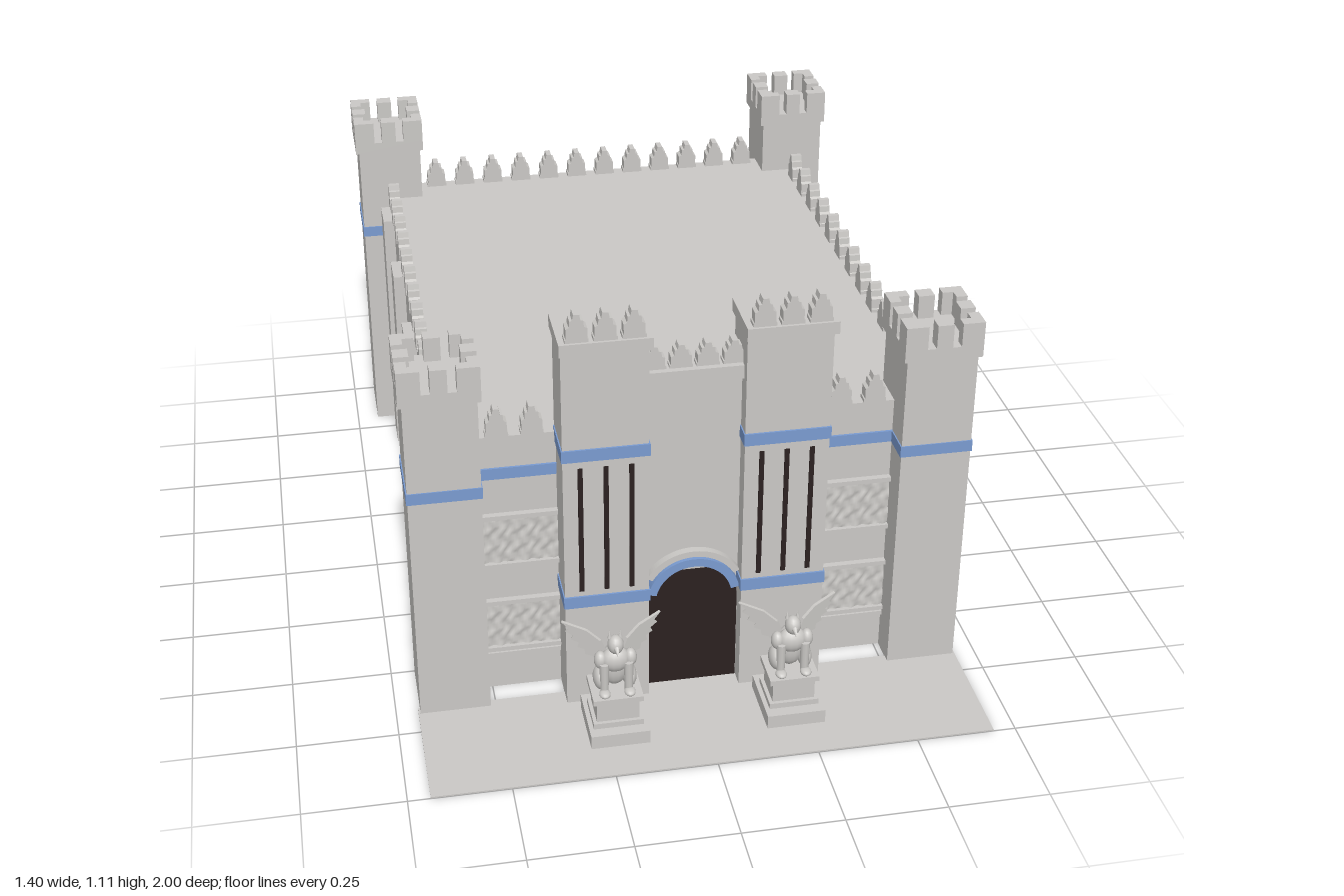
import * as THREE from 'three';

const mat = (name, color) => {
  const m = new THREE.MeshStandardMaterial({ color, side: THREE.DoubleSide });
  m.name = name;
  return m;
};

export function createModel() {
  const stone = mat('stone', 0xcac8c5);
  const blue = mat('blueTile', 0x7a9bd0);
  const dark = mat('darkOpening', 0x2b2120);
  const root = new THREE.Group();
  root.name = 'gatehouseCastle';

  const add = (name, geo, m, parent = root) => {
    const mesh = new THREE.Mesh(geo, m);
    mesh.name = name;
    parent.add(mesh);
    return mesh;
  };
  // Box given by its limits on each axis
  const box = (name, m, x0, x1, y0, y1, z0, z1, parent = root) =>
    add(name, new THREE.BoxGeometry(x1 - x0, y1 - y0, z1 - z0)
      .translate((x0 + x1) / 2, (y0 + y1) / 2, (z0 + z1) / 2), m, parent);
  const extrude = (pts, depth) => new THREE.ExtrudeGeometry(
    pts instanceof THREE.Shape ? pts : new THREE.Shape(pts.map(p => new THREE.Vector2(...p))),
    { depth, bevelEnabled: false, curveSegments: 20 });

  // Stepped merlon, one unit high, centred on x and z
  const half = [[0.40, 0], [0.40, 0.12], [0.36, 0.14], [0.36, 0.5], [0.25, 0.56], [0.23, 0.78], [0.14, 0.8], [0.1, 1]];
  const merlonGeo = extrude([...half, ...half.map(([x, y]) => [-x, y]).reverse()], 1).translate(0, 0, -0.5);
  const merlon = (x, y, z, h, thick, turned = false) => {
    const m = add('merlon', merlonGeo, stone);
    m.position.set(x, y, z);
    m.scale.set(0.07, h, thick);
    if (turned) m.rotation.y = Math.PI / 2;
  };

  // Carved panel with an uneven surface, facing +z, standing on y = 0
  const relief = (w, h) => {
    const g = new THREE.Group();
    g.name = 'carvedPanel';
    const geo = new THREE.PlaneGeometry(w, h, 32, 16);
    const p = geo.attributes.position;
    for (let i = 0; i < p.count; i++) {
      const x = p.getX(i) * 75 / w * 0.2, y = p.getY(i) * 60 / h * 0.15;
      p.setZ(i, 0.006 + 0.004 * Math.sin(x * 2.3 + Math.sin(y * 2)) * Math.cos(y * 1.7 + Math.sin(x)));
    }
    geo.computeVertexNormals();
    add('carving', geo.translate(0, h / 2, 0), stone, g);
    box('lowerLedge', stone, -w / 2, w / 2, -0.006, 0.006, 0, 0.016, g);
    box('upperLedge', stone, -w / 2, w / 2, h - 0.006, h + 0.006, 0, 0.016, g);
    root.add(g);
    return g;
  };

  // Forecourt and main hall
  box('forecourt', stone, -0.695, 0.695, 0, 0.004, 0.66, 1);
  box('hall', stone, -0.61, 0.61, 0, 0.735, -0.87, 0.6);

  // Back wall with an arched doorway
  const back = new THREE.Shape();
  back.moveTo(-0.61, 0).lineTo(-0.13, 0).lineTo(-0.13, 0.25);
  back.quadraticCurveTo(-0.11, 0.36, 0, 0.36).quadraticCurveTo(0.11, 0.36, 0.13, 0.25);
  back.lineTo(0.13, 0).lineTo(0.61, 0).lineTo(0.61, 0.735).lineTo(-0.61, 0.735);
  add('backWall', extrude(back, 0.04), stone).position.z = -0.91;
  for (const s of [-1, 1]) box('doorImpost', stone, s * 0.155 - 0.04, s * 0.155 + 0.04, 0.25, 0.262, -0.925, -0.88);
  box('doorLintel', stone, -0.13, 0.13, 0.25, 0.262, -0.9, -0.87);
  for (let i = 0; i < 12; i++) merlon(-0.465 + i * 0.0845, 0.735, -0.895, 0.075, 0.035);

  // Side walls: pilasters, carvings, bands and slits
  for (const s of [-1, 1]) {
    for (const z of [0.395, 0.027, -0.34, -0.705]) {
      box('pilaster', stone, s * 0.622 - 0.018, s * 0.622 + 0.018, 0, 0.735, z - 0.05, z + 0.05);
    }
    for (const z of [0.215, -0.15, -0.517]) {
      const r = relief(0.21, 0.12);
      r.position.set(s * 0.61, 0.163, z);
      r.rotation.y = s * Math.PI / 2;
      if (s > 0) box('sideBand', blue, 0.607, 0.614, 0.62, 0.65, z - 0.134, z + 0.134);
      else box('sideSlit', dark, -0.614, -0.607, z > 0 ? 0.5 : 0.365, 0.54, z + 0.047, z + 0.063);
    }
    for (let i = 0; i < 12; i++) merlon(s * 0.6, 0.735, 0.44 - i * 0.1077, 0.075, 0.03, true);
  }
  box('sideBand', blue, 0.607, 0.614, 0.62, 0.65, -0.81, -0.755);
  box('sideBand', blue, 0.607, 0.614, 0.62, 0.65, 0.445, 0.5);
  box('sideSlit', dark, 0.607, 0.614, 0.37, 0.55, -0.812, -0.802);

  // Four corner towers with crenellated crowns
  for (const sx of [-1, 1]) for (const cz of [0.592, -0.902]) {
    const t = new THREE.Group();
    t.name = 'cornerTower';
    t.position.set(sx * 0.602, 0, cz);
    root.add(t);
    box('shaft', stone, -0.088, 0.088, 0, 0.89, -0.09, 0.09, t);
    box('band', blue, -0.091, 0.091, 0.62, 0.65, -0.093, 0.093, t);
    box('crown', stone, -0.097, 0.097, 0.885, 0.917, -0.097, 0.097, t);
    for (let k = 0; k < 4; k++) {
      const side = new THREE.Group();
      side.name = 'crownSide';
      side.rotation.y = k * Math.PI / 2;
      t.add(side);
      box('merlon', stone, -0.02, 0.02, 0.915, 0.978, 0.06, 0.097, side);
      box('cornerMerlon', stone, 0.042, 0.097, 0.915, 0.978, 0.069, 0.097, side);
      box('cornerMerlon', stone, -0.097, -0.042, 0.915, 0.978, 0.069, 0.097, side);
    }
  }

  // Front wings beside the gate
  for (const s of [-1, 1]) {
    const cx = s * 0.419;
    for (const [y, h] of [[0.375, 0.14], [0.125, 0.14]]) relief(0.19, h).position.set(cx, y, 0.6);
    box('wingLedge', stone, cx - 0.097, cx + 0.097, 0.1, 0.112, 0.59, 0.612);
    box('wingBand', blue, cx - 0.097, cx + 0.097, 0.62, 0.65, 0.59, 0.606);
    for (const x of [0.38, 0.465]) merlon(s * x, 0.735, 0.585, 0.075, 0.03);
  }

  // Gate towers with slits, bands and overhanging caps
  for (const s of [-1, 1]) {
    const cx = s * 0.22;
    box('gateTower', stone, cx - 0.104, cx + 0.104, 0, 1.005, 0.575, 0.705);
    box('gateTowerCap', stone, cx - 0.11, cx + 0.11, 1.003, 1.035, 0.565, 0.728);
    for (const [y0, y1] of [[0.293, 0.325], [0.71, 0.742]]) {
      box('gateTowerBand', blue, cx - 0.107, cx + 0.107, y0, y1, 0.58, 0.71);
    }
    for (const dx of [-0.062, 0, 0.062]) box('slit', dark, cx + dx - 0.006, cx + dx + 0.006, 0.34, 0.69, 0.702, 0.708);
    for (const dx of [-0.067, 0, 0.067]) merlon(cx + dx, 1.035, 0.705, 0.072, 0.032);
  }

  // Gate centre, doorway and arch
  box('gateCentre', stone, -0.118, 0.118, 0, 0.885, 0.575, 0.66);
  box('gateCornice', stone, -0.118, 0.118, 0.88, 0.915, 0.565, 0.68);
  for (let i = 0; i < 4; i++) merlon(-0.096 + i * 0.064, 0.915, 0.65, 0.06, 0.03);
  add('gateDoorway', extrude([[-0.115, 0], [0.115, 0], [0.115, 0.295], [0.092, 0.295], [0.083, 0.32], [0.0655, 0.34],
    [-0.0655, 0.34], [-0.083, 0.32], [-0.092, 0.295], [-0.115, 0.295]], 0.006), dark).position.z = 0.657;
  const arch = (name, r0, r1, a0, depth, m) => {
    const sh = new THREE.Shape();
    sh.absarc(0, 0.27, r1, a0, Math.PI - a0, false);
    sh.absarc(0, 0.27, r0, Math.PI - a0, a0, true);
    add(name, extrude(sh, depth), m).position.z = 0.655;
  };
  arch('gateArch', 0.096, 0.1176, 0.21, 0.035, blue);
  arch('archMoulding', 0.1176, 0.134, 0.52, 0.025, stone);

  // Winged guardian statues on pedestals
  const ball = new THREE.SphereGeometry(1, 14, 10);
  const wingGeo = extrude([[0, 0.045], [0.02, 0.09], [0.055, 0.115], [0.118, 0.13], [0.098, 0.113], [0.108, 0.104],
    [0.088, 0.095], [0.094, 0.083], [0.074, 0.077], [0.078, 0.063], [0.06, 0.06], [0.058, 0.045], [0.04, 0.043], [0.03, 0.03]], 0.008);
  for (const s of [-1, 1]) {
    const g = new THREE.Group();
    g.name = 'guardian';
    g.position.set(s * 0.22, 0, 0.81);
    root.add(g);
    box('plinth', stone, -0.073, 0.073, 0, 0.04, -0.085, 0.085, g);
    box('pedestalFoot', stone, -0.062, 0.062, 0.04, 0.055, -0.053, 0.056, g);
    box('pedestal', stone, -0.053, 0.053, 0.05, 0.112, -0.044, 0.047, g);
    box('pedestalCap', stone, -0.062, 0.062, 0.11, 0.124, -0.053, 0.056, g);
    const blob = (name, x, y, z, a, b, c) => {
      const m = add(name, ball, stone, g);
      m.position.set(x, y, z);
      m.scale.set(a, b, c);
      return m;
    };
    blob('body', 0, 0.185, -0.008, 0.036, 0.058, 0.03);
    blob('chest', 0, 0.212, 0.01, 0.037, 0.034, 0.025);
    blob('head', 0, 0.258, 0.014, 0.02, 0.025, 0.022);
    const beak = add('beak', new THREE.ConeGeometry(0.009, 0.024, 8), stone, g);
    beak.position.set(0, 0.252, 0.04);
    beak.rotation.x = 2.1;
    for (const t of [-1, 1]) {
      blob('haunch', t * 0.036, 0.152, -0.004, 0.018, 0.03, 0.032);
      blob('shoulder', t * 0.037, 0.214, 0.01, 0.016, 0.024, 0.018);
      const leg = add('foreleg', new THREE.CylinderGeometry(0.012, 0.01, 0.085, 10), stone, g);
      leg.position.set(t * 0.03, 0.168, 0.025);
      blob('paw', t * 0.031, 0.13, 0.037, 0.014, 0.009, 0.018);
      const ear = add('ear', new THREE.ConeGeometry(0.006, 0.022, 6), stone, g);
      ear.position.set(t * 0.013, 0.285, 0.008);
      const side = new THREE.Group();
      side.name = 'wingSide';
      side.scale.x = t;
      g.add(side);
      const wing = add('wing', wingGeo, stone, side);
      wing.position.set(0.012, 0.163, -0.01);
      wing.rotation.y = 0.42;
    }
  }
  return root;
}
